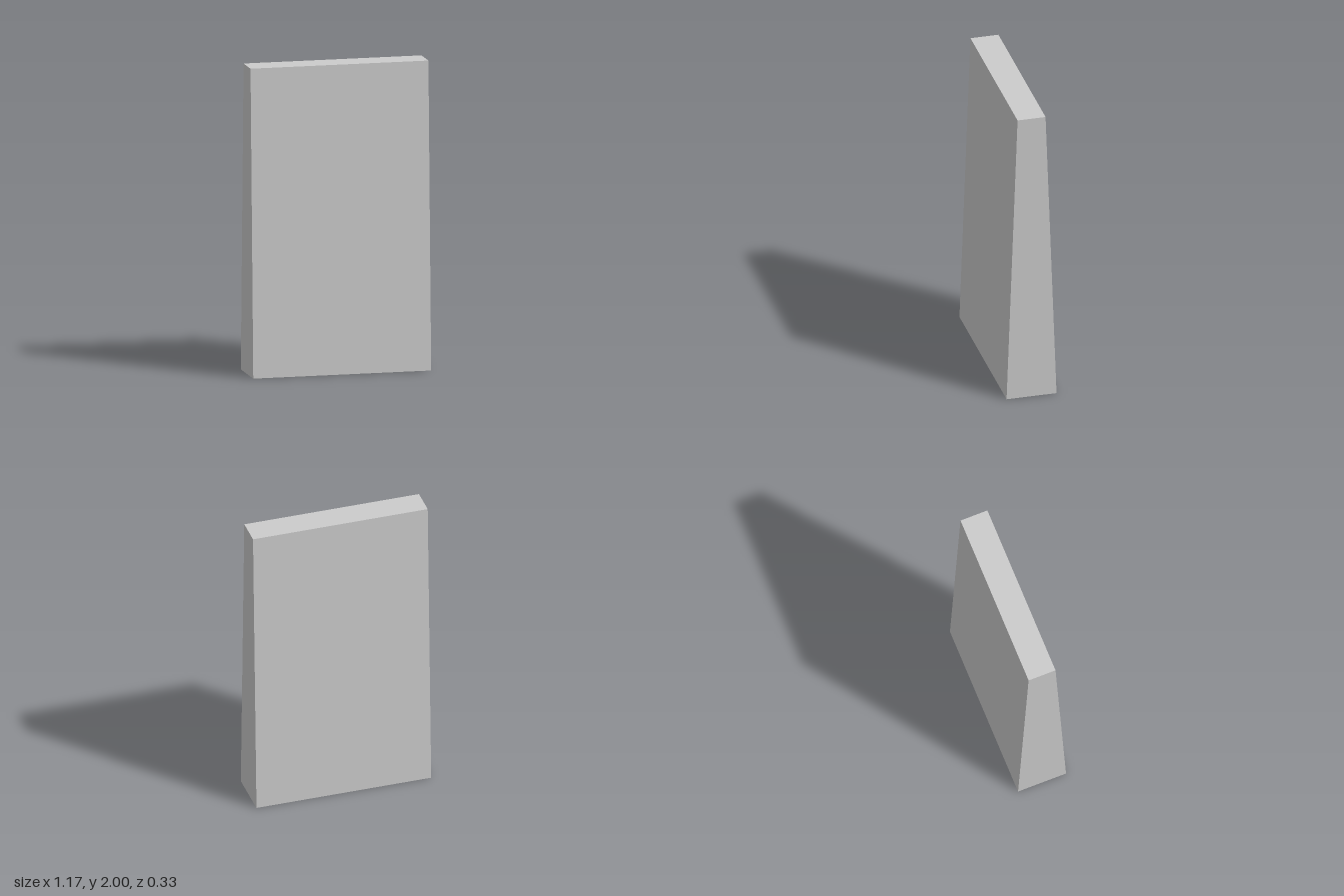
import * as THREE from 'three';

const WIDTH = 1.17, HEIGHT = 2;
const BASE_DEPTH = 0.33, TOP_DEPTH = 0.185;
const POST_SIZE = 0.15, POST_X = 0.497;

const material = new THREE.MeshStandardMaterial({ color: 0xcccccc, side: THREE.DoubleSide });

// Tapered shell: four walls and a top, open underneath
function shellGeometry() {
  const geometry = new THREE.BoxGeometry(WIDTH, HEIGHT, 1);
  geometry.translate(0, HEIGHT / 2, 0);
  const p = geometry.attributes.position;
  for (let i = 0; i < p.count; i++) {
    p.setZ(i, p.getZ(i) * THREE.MathUtils.lerp(BASE_DEPTH, TOP_DEPTH, p.getY(i) / HEIGHT));
  }
  // drop the bottom face (fourth side of the box)
  const index = Array.from(geometry.index.array);
  index.splice(18, 6);
  geometry.setIndex(index);
  geometry.clearGroups();
  geometry.computeVertexNormals();
  return geometry;
}

// Square hollow post, smooth shaded and open at the ends
function postGeometry() {
  const radius = POST_SIZE / Math.SQRT2, height = HEIGHT - 0.01;
  const geometry = new THREE.CylinderGeometry(radius, radius, height, 4, 1, true);
  geometry.rotateY(Math.PI / 4);
  geometry.translate(0, height / 2, 0);
  return geometry;
}

export function createModel() {
  const group = new THREE.Group();
  group.name = 'taperedPanel';

  const shell = new THREE.Mesh(shellGeometry(), material);
  shell.name = 'shell';
  group.add(shell);

  // Inner posts, one near each end
  const geometry = postGeometry();
  for (const side of [1, -1]) {
    const post = new THREE.Mesh(geometry, material);
    post.name = side > 0 ? 'leftPost' : 'rightPost';
    post.position.x = side * POST_X;
    group.add(post);
  }
  return group;
}
